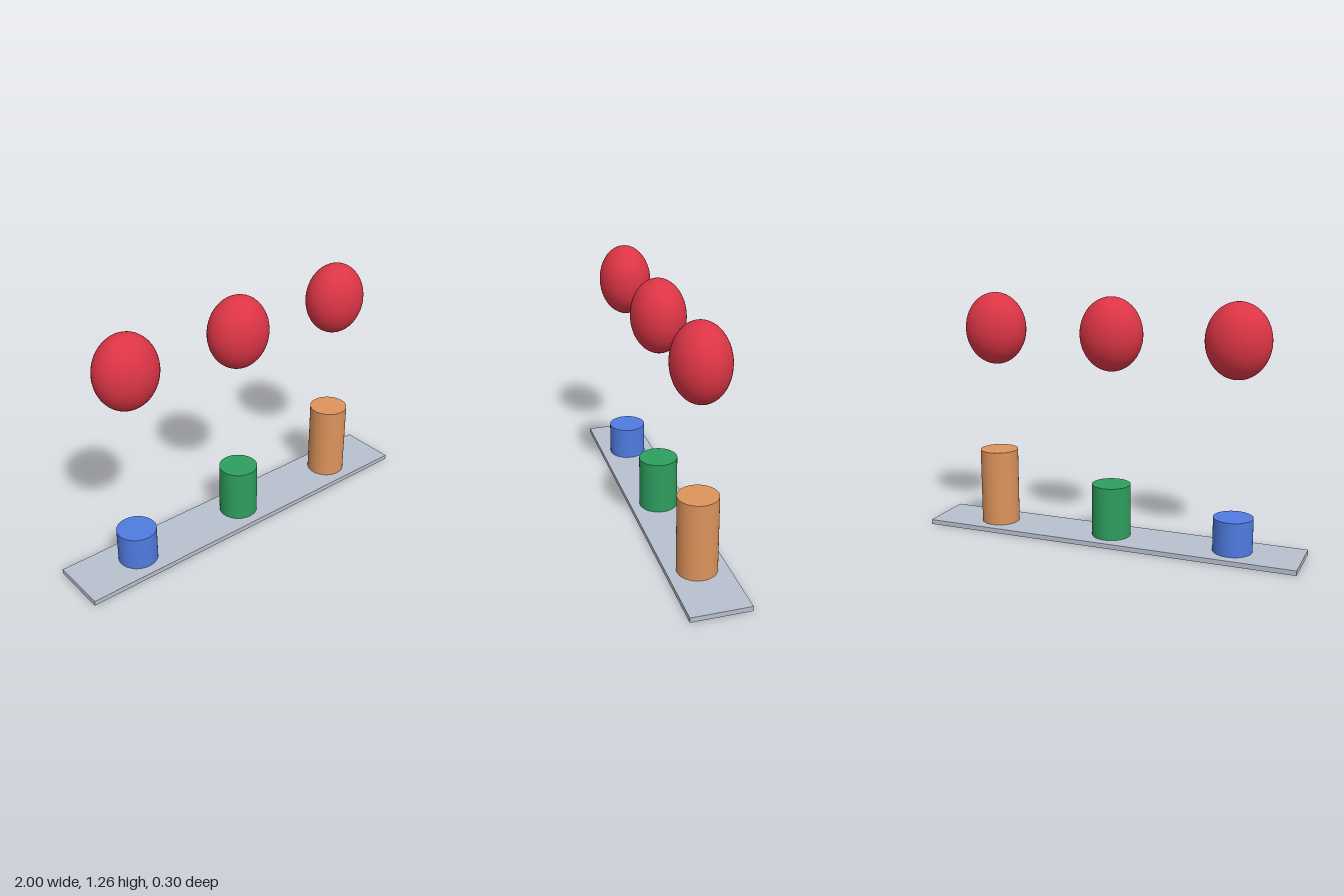
import * as THREE from 'three';

const material = (name, color) => {
  const m = new THREE.MeshStandardMaterial({ color });
  m.name = name;
  return m;
};

export function createModel() {
  const group = new THREE.Group();
  const slate = material('pale slate', 0xb8c0ce);
  const red = material('red', 0xdc3545);
  const BASE = 0.025;

  const add = (name, geometry, mat, x, y) => {
    const mesh = new THREE.Mesh(geometry, mat);
    mesh.name = name;
    mesh.position.set(x, y, 0);
    group.add(mesh);
    return mesh;
  };

  // Thin base plate
  add('basePlate', new THREE.BoxGeometry(2, BASE, 0.3), slate, 0, BASE / 2);

  // Three posts of rising height, each with an ellipsoid floating above
  const posts = [
    ['right', -0.65, 0.175, material('blue', 0x4f7be0)],
    ['middle', 0, 0.275, material('green', 0x2e9e5e)],
    ['left', 0.65, 0.4, material('tan orange', 0xdd935c)],
  ];
  const ball = new THREE.SphereGeometry(1, 48, 32);
  for (const [side, x, height, mat] of posts) {
    add(`${side}Post`, new THREE.CylinderGeometry(0.1, 0.1, height, 48), mat, x, BASE + height / 2);
    add(`${side}Ellipsoid`, ball, red, x, 1.0775).scale.set(0.1625, 0.1875, 0.1375);
  }
  return group;
}
